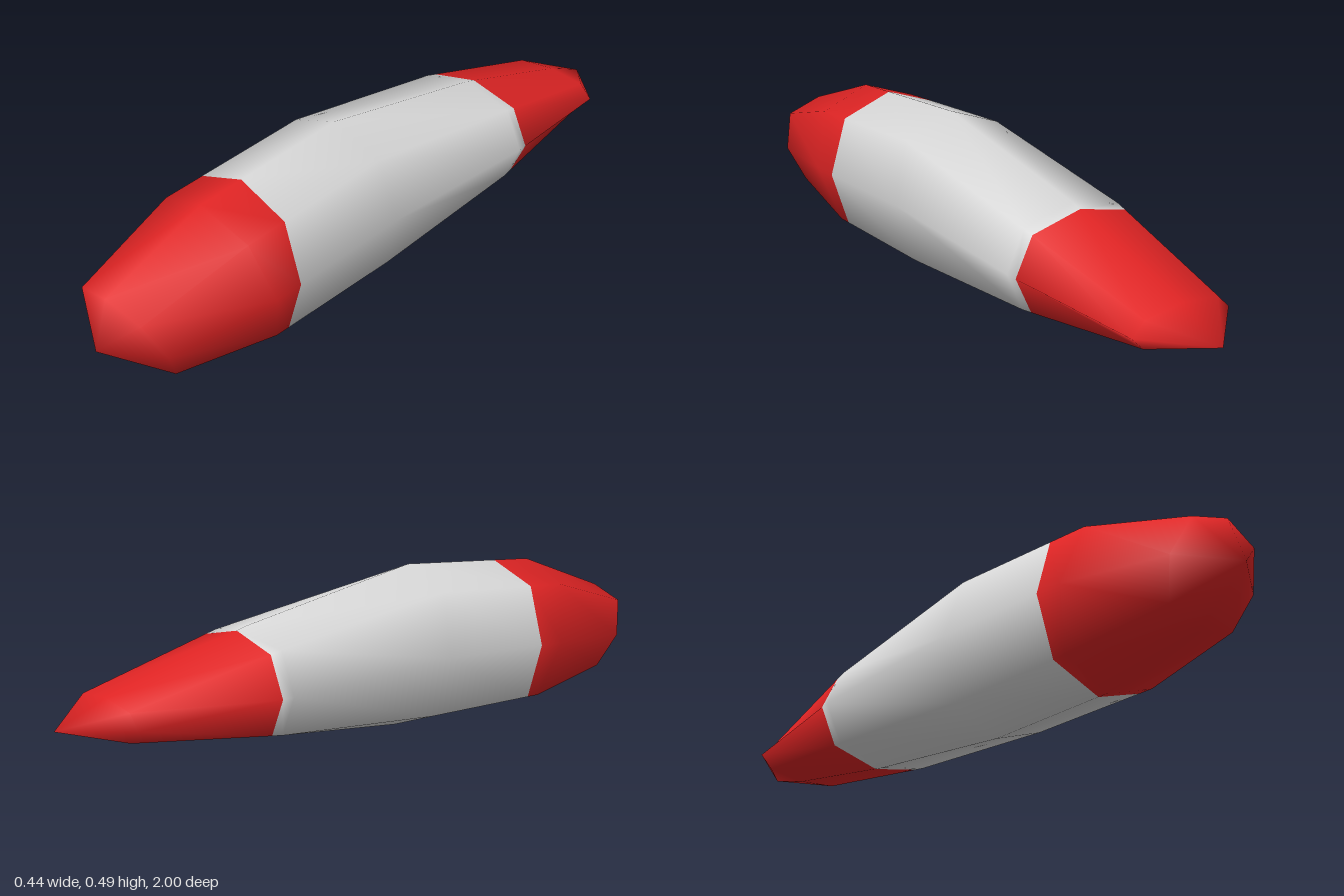
import * as THREE from 'three';

// Cross-sections from nose to tail: [z, top y, bottom y, half width, z tilt of the top]
const NOSE = [1.0, 0.19];
const TAIL = [-1.0, 0.198];
const SECTIONS = [
  [0.895, 0.33, 0.06, 0.157, 0.06],
  [0.58, 0.45, 0.003, 0.213, 0.055],
  [0.125, 0.488, 0.01, 0.213, 0.025],
  [-0.42, 0.385, 0.076, 0.212, 0],
  [-0.853, 0.26, 0.155, 0.16, 0],
];
const SIDES = 8;

// Slightly boxy octagon
function ring([z, top, bottom, halfWidth, tilt]) {
  const points = [];
  for (let i = 0; i < SIDES; i++) {
    const a = (i / SIDES) * Math.PI * 2;
    const k = i % 2 ? 1.06 : 1;
    const c = Math.cos(a) * k, s = Math.sin(a) * k;
    points.push(new THREE.Vector3(c * halfWidth, (top + bottom) / 2 + (s * (top - bottom)) / 2, z + s * tilt));
  }
  return points;
}

// Ring where the hull between two sections crosses a plane of constant z
function cut(a, b, z) {
  return a.map((p, i) => p.clone().lerp(b[i], (p.z - z) / (p.z - b[i].z)));
}

export function createModel() {
  const red = new THREE.MeshStandardMaterial({ color: 0xe02424 });
  red.name = 'red';
  const white = new THREE.MeshStandardMaterial({ color: 0xd9d9d9 });
  white.name = 'lightGrey';

  const [r1, r2, r3, r4, r5] = SECTIONS.map(ring);
  const rings = [r1, r2, cut(r2, r3, 0.495), r3, r4, cut(r4, r5, -0.453), r5];

  // Vertices: nose tip, rings, tail tip
  const points = [new THREE.Vector3(0, NOSE[1], NOSE[0]), ...rings.flat(), new THREE.Vector3(0, TAIL[1], TAIL[0])];
  const last = points.length - 1;
  const at = (r, i) => 1 + r * SIDES + (i % SIDES);
  const index = [];
  const groups = [];
  const band = (material, build) => {
    const start = index.length;
    for (let i = 0; i < SIDES; i++) build(i);
    groups.push([start, index.length - start, material]);
  };

  band(0, (i) => index.push(0, at(0, i), at(0, i + 1)));
  for (let r = 0; r < rings.length - 1; r++) {
    band(r >= 2 && r <= 4 ? 1 : 0, (i) => {
      const a = at(r, i), b = at(r, i + 1), c = at(r + 1, i), d = at(r + 1, i + 1);
      index.push(a, c, b, b, c, d);
    });
  }
  band(0, (i) => index.push(last, at(rings.length - 1, i + 1), at(rings.length - 1, i)));

  const geometry = new THREE.BufferGeometry().setFromPoints(points);
  geometry.setIndex(index);
  groups.forEach((g) => geometry.addGroup(...g));
  geometry.computeVertexNormals();

  // Smooth hull with red ends, turned very slightly about the vertical
  const hull = new THREE.Mesh(geometry, [red, white]);
  hull.name = 'hull';
  hull.rotation.y = 0.0165;
  hull.position.x = -0.003;

  const group = new THREE.Group();
  group.name = 'float';
  group.add(hull);
  return group;
}
